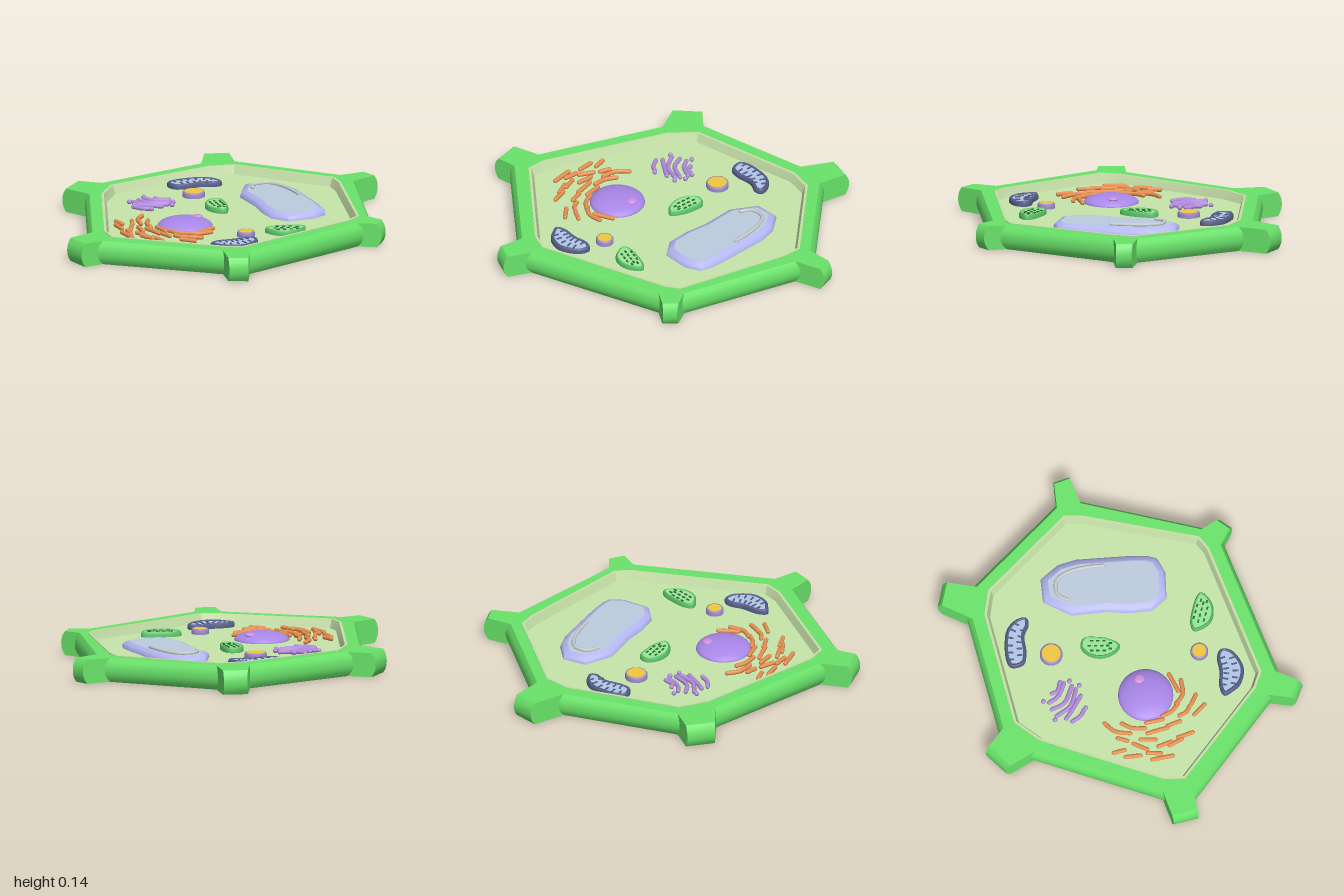
import * as THREE from 'three';
import { mergeGeometries, toCreasedNormals } from 'three/addons/utils/BufferGeometryUtils.js';

const FLOOR = 0.086;
const TOP = 0.13;

const mat = (color) => new THREE.MeshStandardMaterial({ color });

// Flat list of x, z in hundredths -> ground-plane points
function pts(list) {
  const out = [];
  for (let i = 0; i < list.length; i += 2) out.push(new THREE.Vector2(list[i] / 100, list[i + 1] / 100));
  return out;
}

const curve = (points, y, closed = false) =>
  new THREE.CatmullRomCurve3(points.map((p) => new THREE.Vector3(p.x, y, p.y)), closed);

const smooth = (points, n = 40) =>
  curve(points, 0, true).getSpacedPoints(n).slice(0, n).map((p) => new THREE.Vector2(p.x, p.z));

const allEdges = () => 1;

// Moves the edges of an outline (clockwise from above) inward by d times their weight
function inset(points, d, weight = allEdges) {
  const n = points.length;
  const normal = (a, b) => new THREE.Vector2(a.y - b.y, b.x - a.x).normalize();
  return points.map((p, i) => {
    const before = (i + n - 1) % n;
    const n1 = normal(points[before], p);
    const n2 = normal(p, points[(i + 1) % n]);
    const d1 = d * weight(before), d2 = d * weight(i), c = n1.dot(n2);
    const out = n1.clone().add(n2).multiplyScalar((d1 + d2) / 2 / (1 + c)).add(p);
    if (d1 !== d2) out.addScaledVector(n1.clone().sub(n2), (d1 - d2) / 2 / (1 - c));
    return out;
  });
}

// Skin over insets of one outline; profile is a list of [inset, y]
function loft(outline, profile, crease, weight) {
  const n = outline.length;
  const pos = [];
  const idx = [];
  profile.forEach(([d, y], r) => inset(outline, d, weight).forEach((p, i) => {
    pos.push(p.x, y, p.y);
    if (r === 0) return;
    const j = (i + 1) % n;
    const a = (r - 1) * n + i, b = (r - 1) * n + j, c = r * n + j, e = r * n + i;
    idx.push(a, e, b, b, e, c);
  }));
  const g = new THREE.BufferGeometry();
  g.setAttribute('position', new THREE.Float32BufferAttribute(pos, 3));
  g.setIndex(idx);
  return toCreasedNormals(g, crease);
}

// Flat face filling an outline, facing up or down
function cap(outline, y, up = true, hole = null) {
  const s = up ? -1 : 1;
  const flip = (ps) => ps.map((p) => new THREE.Vector2(p.x, s * p.y));
  const shape = new THREE.Shape(flip(outline));
  if (hole) shape.holes.push(new THREE.Path(flip(hole)));
  return new THREE.ShapeGeometry(shape).rotateX(s * Math.PI / 2).translate(0, y, 0);
}

// Round-ended strand lying at height y
function strand(list, radius, y) {
  const c = curve(pts(list), y);
  const ends = [0, 1].map((t) => {
    const p = c.getPoint(t);
    return new THREE.SphereGeometry(radius, 8, 6).translate(p.x, p.y, p.z);
  });
  return mergeGeometries([new THREE.TubeGeometry(c, 12, radius, 8), ...ends]);
}

// Small bar centred at (x, z), its length along the given direction
function bar(x, z, dx, dz, length, width) {
  return new THREE.BoxGeometry(length, 0.006, width).rotateY(-Math.atan2(dz, dx)).translate(x, FLOOR + 0.025, z);
}

export function createModel() {
  const model = new THREE.Group();
  const add = (name, geometry, color, parent = model) => {
    const mesh = new THREE.Mesh(geometry, mat(color));
    mesh.name = name;
    parent.add(mesh);
    return mesh;
  };
  const group = (name) => {
    const g = new THREE.Group();
    g.name = name;
    model.add(g);
    return g;
  };

  // Six-sided wall with a stub at each corner; long edges and stub ends are rounded, stub flanks upright
  const outer = pts([35, -94, 47, -90, 43, -75, 85, -25, 98, -25, 100, -17, 86, -13, 63, 53, 67, 61, 62, 66.5, 54, 61,
    -24, 83, -30, 94, -39, 89.5, -36, 77, -88, 30, -98, 31, -100, 17.5, -86, 14, -55, -54, -61.5, -68, -50, -77.5,
    -41, -69, 26, -79]);
  const inner = pts([-36.5, -61, 26, -70, 39.5, -66.5, 77, -22, 76, -12, 57.5, 48.5, 50.5, 53, -22, 73, -31, 69,
    -78, 26, -77, 15, -48, -48.5]);
  const rounded = (edge) => (edge % 2 ? 0 : 1);
  const wall = group('cellWall');
  add('wallSides', loft(outer, [[0.024, 0], [0.009, 0.022], [0.001, 0.045], [0, 0.065], [0.001, 0.085],
    [0.009, 0.108], [0.024, TOP]], 0.6, rounded), 0x6ae46a, wall);
  add('wallTop', cap(inset(outer, 0.024, rounded), TOP, true, inner), 0x6ae46a, wall);
  add('wallBottom', cap(inset(outer, 0.024, rounded), 0, false), 0x6ae46a, wall);

  // Membrane lining and cell floor
  add('membrane', loft(inner, [[0, TOP], [0, 0.133], [0.014, 0.133], [0.03, FLOOR]], 0.4), 0xc6e0a8);
  add('floor', cap(inset(inner, 0.03), FLOOR), 0xc6e6aa);

  // Nucleus dome with nucleolus
  const nucleus = group('nucleus');
  nucleus.position.set(-0.27, FLOOR, 0.105);
  add('nucleusDome', new THREE.SphereGeometry(0.147, 40, 12, 0, Math.PI * 2, 0, Math.PI / 2).scale(1, 0.3, 1),
    0xa988ea, nucleus);
  add('nucleolus', new THREE.SphereGeometry(0.029, 20, 14).scale(1, 0.4, 1), 0xd08fe0, nucleus)
    .position.set(0.083, 0.034, -0.025);

  // Faceted vacuole with a curved highlight
  const vacuole = group('vacuole');
  const vac = pts([31, -38, 44, -38, 51, -28, 53, -18, 52, 11, 51, 20, 49, 25, 41, 28.5, 26, 27.5, 20, 19, 20, 7,
    22, -5, 22, -24]);
  add('vacuoleRim', loft(vac, [[0, FLOOR], [0.003, 0.1], [0.014, 0.113], [0.038, 0.122]], 0.8), 0xb5b7f5, vacuole);
  add('vacuoleTop', cap(inset(vac, 0.038), 0.122), 0xbdcde0, vacuole);
  add('vacuoleHighlight', strand([30, -25, 33, -30, 41, -30, 45, -24, 47, -13, 47, -4], 0.01, 0.127), 0xc6cccc, vacuole);

  // Low pad with a raised rim and a paler centre
  const pad = (name, list, rimColor, topColor, rim) => {
    const g = group(name);
    const o = smooth(pts(list));
    add('rim', loft(o, [[0, FLOOR], [0, FLOOR + 0.018], [0.004, FLOOR + 0.026], [rim * 0.5, FLOOR + 0.029],
      [rim, FLOOR + 0.024]], 0.9), rimColor, g);
    add('centre', cap(inset(o, rim), FLOOR + 0.024), topColor, g);
    return g;
  };

  // Mitochondria with alternating inner folds
  [
    [[-4, -59, 0, -61, 9, -61, 17, -59, 22, -54, 23, -48, 19, -47, 13, -50, 3, -50, -3, -52],
      [-1, -56, 5, -56, 12, -55, 19, -51]],
    [[-32, 52, -27, 50, -18, 51, -10, 50.5, -6, 53, -7, 58, -12, 62, -19, 64, -27, 61, -30, 57],
      [-28, 54.5, -19, 57, -10, 55.5]],
  ].forEach(([outline, axis]) => {
    const g = pad('mitochondrion', outline, 0x565d88, 0xb0c8e8, 0.018);
    const c = curve(pts(axis), 0);
    const folds = [];
    for (let i = 0; i < 11; i++) {
      const p = c.getPointAt((i + 0.5) / 11), t = c.getTangentAt((i + 0.5) / 11);
      const side = i % 2 ? 0.024 : -0.024;
      folds.push(bar(p.x - t.z * side, p.z + t.x * side, -t.z, t.x, 0.03, 0.009));
    }
    add('folds', mergeGeometries(folds), 0x565d88, g);
  });

  // Chloroplasts with rows of dark dashes
  [
    [[3, -21, 8, -19, 8, -12, 6, -5, 2, 0, -2, -3, -4, -10, -2, -17], [3.2, -17, 1.8, -4]],
    [[6, 40, 10, 38.5, 17, 40, 25, 43.5, 27, 46, 22, 50.5, 15, 51.5, 9, 48.5], [10, 42.5, 23, 47.5]],
  ].forEach(([outline, axis]) => {
    const g = pad('chloroplast', outline, 0x5cc468, 0x9be898, 0.012);
    const [a, b] = pts(axis);
    const d = b.clone().sub(a).normalize();
    const dashes = [];
    for (let row = -1; row <= 1; row++) {
      for (let i = 0; i < 4; i++) {
        const p = a.clone().lerp(b, (i + (row ? 0.6 : 0.2)) / 4);
        const w = row * (i === 3 ? 0.016 : 0.028);
        dashes.push(bar(p.x - d.y * w, p.y + d.x * w, d.x, d.y, 0.018, 0.009));
      }
    }
    add('dashes', mergeGeometries(dashes), 0x2c6b38, g);
  });

  // Round vesicles: purple ring around a gold disc
  [[0.01, -0.37, 0.06], [-0.06, 0.415, 0.047]].forEach(([x, z, r]) => {
    const g = group('vesicle');
    g.position.set(x, FLOOR, z);
    const ring = [[r, 0], [r, 0.02], [r - 0.004, 0.028], [r - 0.01, 0.029]].map(([a, b]) => new THREE.Vector2(a, b));
    add('vesicleRing', new THREE.LatheGeometry(ring, 32), 0x9f8bcc, g);
    add('vesicleDisc', new THREE.CylinderGeometry(r - 0.01, r - 0.01, 0.029, 32), 0xf0c83f, g).position.y = 0.0145;
  });

  // Stacked folds with small round buds
  const stack = [[-26, -41, -23, -36, -16, -32], [-30, -40, -27, -33, -18, -28], [-34, -38, -29, -30, -20, -26],
    [-36, -33, -31, -29, -24, -24], [-38, -30, -35, -25, -32, -23], [-21, -39, -20, -36, -15, -34]];
  const buds = [[-25, -44], [-36, -39], [-15, -29], [-31, -22], [-18, -24]];
  const golgi = group('golgiStack');
  add('folds', mergeGeometries(stack.map((s) => strand(s, 0.012, FLOOR + 0.01))), 0xb48ce0, golgi);
  add('buds', mergeGeometries(buds.map(([x, z]) =>
    new THREE.SphereGeometry(0.013, 12, 8).translate(x / 100, FLOOR + 0.01, z / 100))), 0xb48ce0, golgi);

  // Orange strands curving around the nucleus
  const strands = [[-41, -13, -46, -8, -48, 0], [-42, -4, -45, 1, -46, 8], [-58, -10, -57, -4], [-50, -7, -52, -2],
    [-61, -4, -61, 4], [-54, 1, -58, 8], [-52, 5, -53, 13], [-64, 10, -63, 21], [-60, 8, -61, 15], [-57, 14, -55, 21],
    [-49, 9, -48, 14, -47, 20], [-43, 9, -42, 18], [-57, 20, -54, 27], [-53, 25, -51, 33], [-46, 20, -44, 27],
    [-40, 18, -38, 23, -34, 27], [-41, 27, -39, 31, -36, 33], [-34, 26, -29, 30, -21, 30], [-27, 28, -17, 24],
    [-35, 34, -30, 37], [-41, 35, -36, 41]];
  add('reticulum', mergeGeometries(strands.map((s) => strand(s, 0.012, FLOOR + 0.01))), 0xe89050);

  return model;
}
